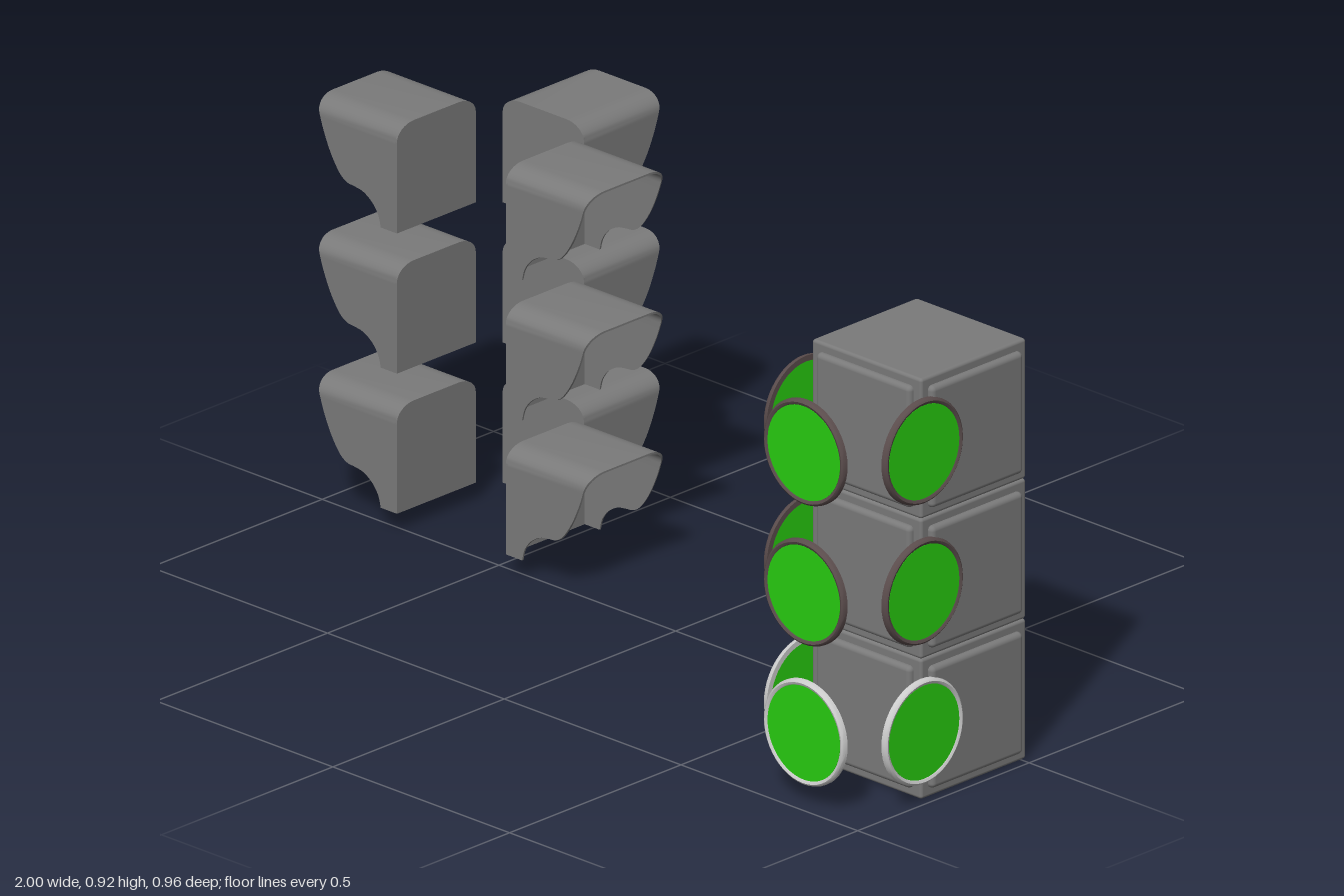
import * as THREE from 'three';
import { RoundedBoxGeometry } from 'three/addons/geometries/RoundedBoxGeometry.js';
import { toCreasedNormals } from 'three/addons/utils/BufferGeometryUtils.js';

const PITCH = 0.3083;            // height of one signal section
const CX = 0.825, CZ = 0.141;    // housing centre
const mat = (color, side = THREE.FrontSide) => new THREE.MeshStandardMaterial({ color, side });
const bodyMat = mat(0x7a7a7a);
const visorMat = mat(0x7a7a7a, THREE.DoubleSide);
const lensMat = mat(0x28cc10);
const darkRim = mat(0x5a4c4c);
const paleRim = mat(0xcccccc);

function add(parent, name, geometry, material, x = 0, y = 0, z = 0) {
  const mesh = new THREE.Mesh(geometry, material);
  mesh.name = name;
  mesh.position.set(x, y, z);
  parent.add(mesh);
  return mesh;
}

// Rounded rim, flat at the back, around a flat lens; both face +z
const rimGeo = toCreasedNormals(new THREE.LatheGeometry([
  [0.102, 0], [0.1145, 0], [0.1145, 0.006], [0.113, 0.010], [0.109, 0.013],
  [0.105, 0.012], [0.102, 0.009], [0.102, 0],
].map(([r, y]) => new THREE.Vector2(r, y)), 48).rotateX(Math.PI / 2), 0.7);
const lensGeo = new THREE.CylinderGeometry(0.1025, 0.1025, 0.009, 48).rotateX(Math.PI / 2);

function makeLens(rimMaterial) {
  const lens = new THREE.Group();
  lens.name = 'lens';
  add(lens, 'lensRim', rimGeo, rimMaterial);
  add(lens, 'lensDisc', lensGeo, lensMat, 0, 0, 0.0055);
  return lens;
}

// Half of the hood's cross-section from the foot to the top, as [x, y, depth]
const W = 0.115, H = 0.235, T = 0.004, RX = 0.05, RY = 0.035;
function hoodRows() {
  const edge = new THREE.SplineCurve([
    [0.046, 0], [0.053, 0.025], [0.07, 0.048], [0.095, 0.064], [0.12, 0.069],
    [0.142, 0.072], [0.163, 0.087], [0.187, 0.122], [0.207, 0.165], [0.219, 0.2],
  ].map(p => new THREE.Vector2(...p)));
  const half = edge.getPoints(36).map(p => [W, p.y, p.x]);
  for (let i = 1; i <= 8; i++) {
    const a = i / 8 * Math.PI / 2;
    const y = H - RY + RY * Math.sin(a);
    half.push([W - RX + RX * Math.cos(a), y, 0.219 + (y - 0.2) / RY * 0.012]);
  }
  return [...half, ...half.slice().reverse().map(([x, y, d]) => [-x, y, d])];
}

// Hood shell: each row is outer mount, outer lip, inner lip, inner mount
function hoodGeometry(rows) {
  const pos = [], index = [];
  for (const [x, y, d] of rows) {
    const ix = x * (1 - T / W), iy = y * (1 - T / H);
    pos.push(x, y, 0, x, y, d, ix, iy, d, ix, iy, 0);
  }
  for (let i = 0; i < rows.length - 1; i++) {
    for (let k = 0; k < 3; k++) {
      const a = i * 4 + k, b = a + 1, c = a + 4, e = a + 5;
      index.push(a, c, b, b, c, e);
    }
  }
  const last = (rows.length - 1) * 4;
  index.push(0, 1, 2, 0, 2, 3, last, last + 2, last + 1, last, last + 3, last + 2);
  const geo = new THREE.BufferGeometry();
  geo.setAttribute('position', new THREE.Float32BufferAttribute(pos, 3));
  geo.setIndex(index);
  return toCreasedNormals(geo, 0.6);
}

const rows = hoodRows();
const hoodGeo = hoodGeometry(rows);
const wallGeo = new THREE.ExtrudeGeometry(
  new THREE.Shape(rows.map(([x, y]) => new THREE.Vector2(x, y))),
  { depth: T, bevelEnabled: false });

function makeVisor() {
  const visor = new THREE.Group();
  visor.name = 'visor';
  add(visor, 'visorHood', hoodGeo, visorMat);
  add(visor, 'visorBackWall', wallGeo, visorMat);
  return visor;
}

export function createModel() {
  const model = new THREE.Group();
  model.name = 'trafficSignalKit';

  const boxGeo = new RoundedBoxGeometry(0.31, PITCH, 0.307, 3, 0.007);
  const panelGeo = new RoundedBoxGeometry(0.268, 0.268, 0.04, 4, 0.011);

  // Placement of lenses: front, left and right
  const lensSpots = [
    [CX, 0.467, 0], [0.987, 0.303, Math.PI / 2], [0.663, 0.303, -Math.PI / 2],
  ];
  // Placement of visors: three loose columns, each with its own facing
  const visorSpots = [
    [-0.769, -0.095, -Math.PI / 2], [-0.615, -0.248, Math.PI], [-0.461, -0.095, Math.PI / 2],
  ];

  for (let i = 0; i < 3; i++) {
    const base = i * PITCH, mid = base + PITCH / 2;

    // Housing section with raised doors on three sides
    const section = new THREE.Group();
    section.name = 'housingSection';
    section.position.set(CX, mid, CZ);
    model.add(section);
    add(section, 'housingBox', boxGeo, bodyMat);
    add(section, 'frontPanel', panelGeo, bodyMat, 0, 0, 0.146);
    for (const s of [1, -1]) {
      add(section, s > 0 ? 'leftPanel' : 'rightPanel', panelGeo, bodyMat, s * 0.148, 0, 0)
        .rotation.y = s * Math.PI / 2;
    }

    // The lowest lenses have pale rims
    for (const [x, z, turn] of lensSpots) {
      const lens = makeLens(i === 0 ? paleRim : darkRim);
      lens.position.set(x, mid + 0.003, z);
      lens.rotation.y = turn;
      model.add(lens);
    }

    for (const [x, z, turn] of visorSpots) {
      const visor = makeVisor();
      visor.position.set(x, base + 0.041, z);
      visor.rotation.y = turn;
      model.add(visor);
    }
  }
  return model;
}
